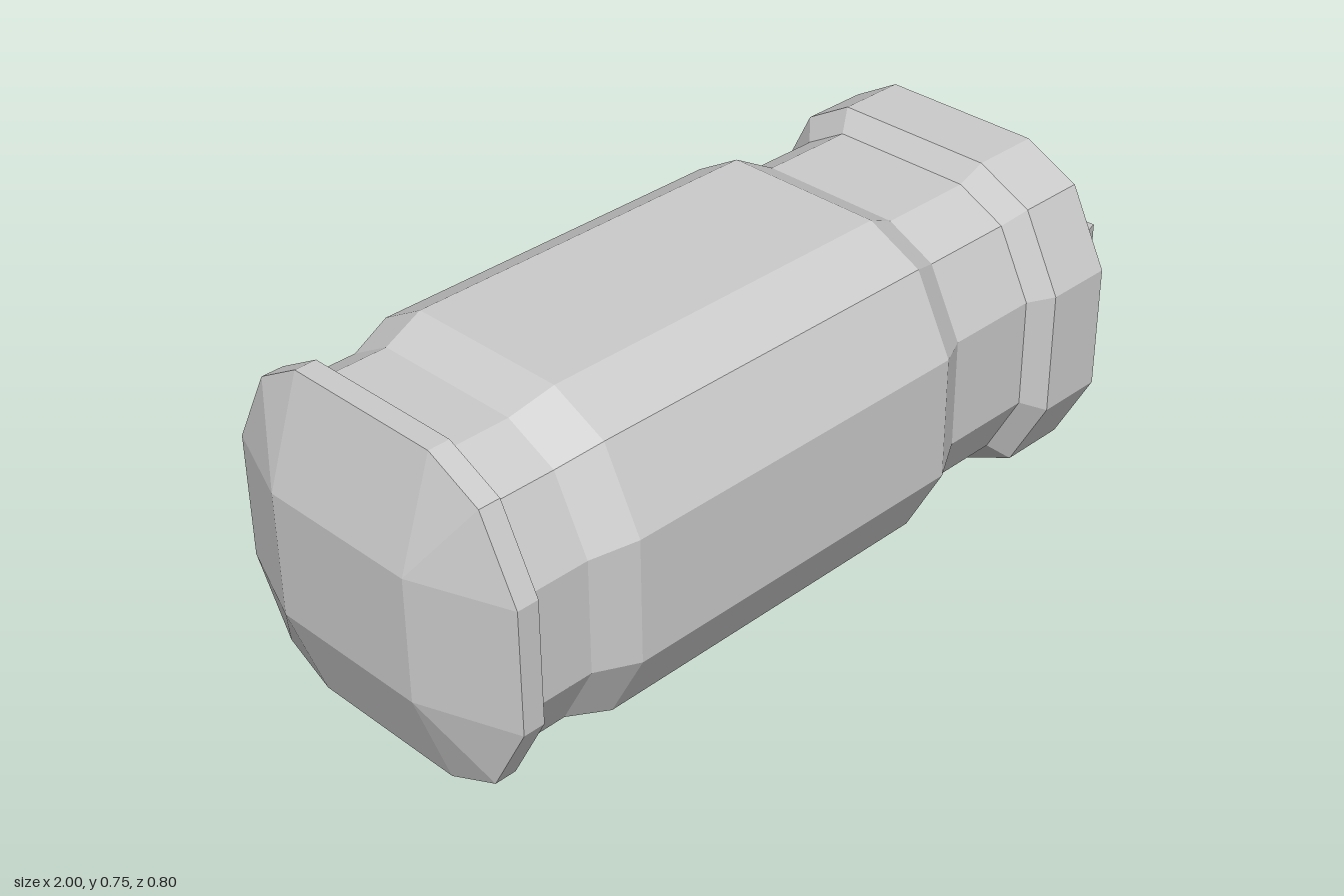
import * as THREE from 'three';

const material = new THREE.MeshStandardMaterial({ color: 0xcccccc, flatShading: true });
const MID = 0.375;

// Cross-section corners as [z, y], running up the +z side and down the -z side
const SECTION = [
  [0.18, 0], [0.31, 0.06], [0.4, 0.228], [0.4, 0.512], [0.31, 0.687], [0.18, 0.75],
  [-0.2, 0.75], [-0.31, 0.687], [-0.4, 0.512], [-0.4, 0.228], [-0.31, 0.06], [-0.2, 0],
];

// Ring of the section at x, scaled about the long axis
const ring = (x, s = 1) => SECTION.map(([z, y]) => [x, MID + (y - MID) * s, z * s]);

// Ring that gathers the rounded corners; side gives the z reach and half-height of the flanks
const capRing = (x, sideL, sideR, bottom, top) => SECTION.map(([z], i) => {
  const upper = i > 2 && i < 9;
  const flank = [2, 3, 8, 9].includes(i);
  if (flank) return [x, upper ? top : bottom, z > 0 ? sideL : sideR];
  return [x, upper ? 0.512 : 0.228, z > 0 ? 0.18 : -0.2];
});

// Skin successive rings (ordered along +x) and close both ends with fans
function loft(rings, name) {
  const pos = [];
  const tri = (a, b, c) => pos.push(...a, ...b, ...c);
  const n = rings[0].length;
  for (let r = 0; r < rings.length - 1; r++) {
    const A = rings[r], B = rings[r + 1];
    for (let i = 0; i < n; i++) {
      const j = (i + 1) % n;
      tri(A[i], B[i], B[j]);
      tri(A[i], B[j], A[j]);
    }
  }
  const first = rings[0], last = rings[rings.length - 1];
  const centre = (R) => [0, 1, 2].map((k) => R.reduce((t, p) => t + p[k], 0) / n);
  for (let i = 0; i < n; i++) {
    const j = (i + 1) % n;
    tri(centre(first), first[i], first[j]);
    tri(centre(last), last[j], last[i]);
  }
  // Drop collapsed triangles
  const clean = [];
  const t = new THREE.Triangle();
  for (let i = 0; i < pos.length; i += 9) {
    t.a.fromArray(pos, i); t.b.fromArray(pos, i + 3); t.c.fromArray(pos, i + 6);
    if (t.getArea() > 1e-7) clean.push(...pos.slice(i, i + 9));
  }
  const geo = new THREE.BufferGeometry();
  geo.setAttribute('position', new THREE.Float32BufferAttribute(clean, 3));
  geo.computeVertexNormals();
  const mesh = new THREE.Mesh(geo, material);
  mesh.name = name;
  return mesh;
}

// Rectangle ring for a prong, wound like SECTION
const rect = (x, z0, z1, y0, y1) => [[x, y0, z1], [x, y1, z1], [x, y1, z0], [x, y0, z0]];

export function createModel() {
  const group = new THREE.Group();
  group.name = 'canister';

  // Faceted shell: rear cap, rim, neck, barrel, waist, collar, front cap
  group.add(loft([
    capRing(-1, 0.18, -0.2, 0.228, 0.512),
    ring(-0.92), ring(-0.87),
    ring(-0.855, 0.915), ring(-0.72, 0.915),
    ring(-0.62), ring(0.25),
    ring(0.335, 0.885), ring(0.56, 0.885),
    ring(0.6), ring(0.76),
    capRing(0.827, 0.26, -0.26, 0.27, 0.472),
  ], 'body'));

  // Two tapered contact prongs leaning inward
  group.add(loft([
    rect(0.82, 0.19, 0.258, 0.27, 0.472), rect(1, 0.15, 0.2, 0.29, 0.452),
  ], 'leftProng'));
  group.add(loft([
    rect(0.82, -0.258, -0.2, 0.27, 0.472), rect(1, -0.205, -0.167, 0.29, 0.452),
  ], 'rightProng'));

  return group;
}
